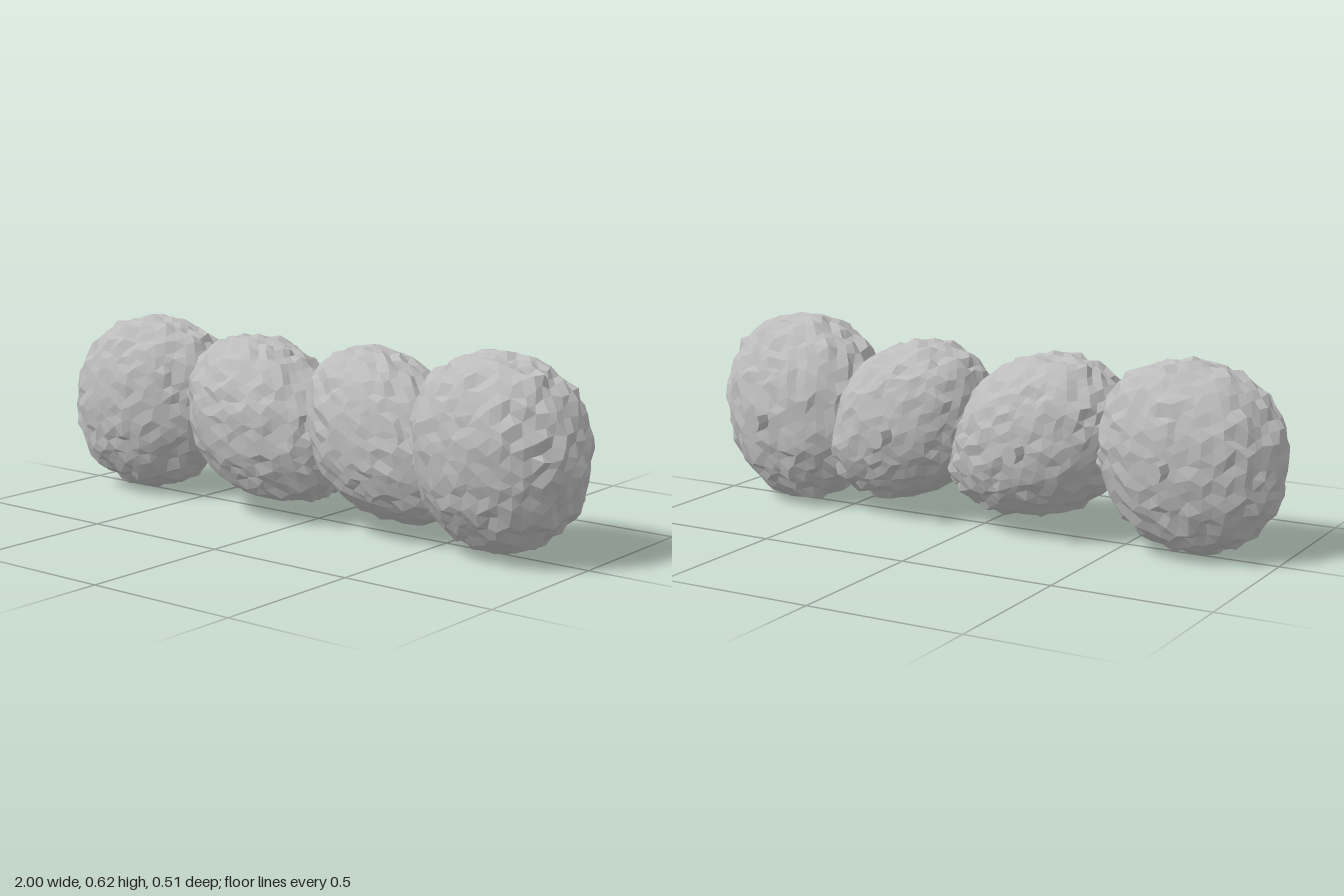
import * as THREE from 'three';
import { mergeVertices } from 'three/addons/utils/BufferGeometryUtils.js';

// Extents per lump. lean: x shift toward the bottom; tip: z shift toward the top;
// yaw: z shift toward +x; taper: extra width toward the top
const LUMPS = [
  { x: [-1.0, -0.42], y: [0.01, 0.6], z: [-0.19, 0.205], lean: -0.02, tip: 0.0, yaw: -0.025, taper: 0.06, peg: -0.70 },
  { x: [-0.485, 0.11], y: [0.05, 0.58], z: [-0.2, 0.24], lean: 0.065, tip: 0.0, yaw: 0.01, taper: -0.12, peg: -0.225 },
  { x: [0.0, 0.56], y: [0.05, 0.585], z: [-0.195, 0.205], lean: 0.08, tip: 0.0, yaw: 0.0, taper: -0.08, peg: 0.25 },
  { x: [0.415, 0.995], y: [0.01, 0.625], z: [-0.195, 0.25], lean: -0.01, tip: 0.025, yaw: 0.015, taper: 0.06, peg: 0.725 },
];

// Small seeded generator for the rough surface
function seeded(seed) {
  let s = seed;
  return () => {
    s = (s * 16807) % 2147483647;
    return s / 2147483647 - 0.5;
  };
}

// Slightly boxy ellipsoid with a chipped, faceted skin
function lumpGeometry(lump, seed) {
  const ico = new THREE.IcosahedronGeometry(1, 8);
  ico.deleteAttribute('normal');
  ico.deleteAttribute('uv');
  const geo = mergeVertices(ico, 1e-4);
  const pos = geo.attributes.position;
  const rand = seeded(seed);
  const mid = ([a, b]) => (a + b) / 2;
  const half = ([a, b]) => (b - a) / 2;
  const n = 2.15;
  const v = new THREE.Vector3();
  for (let i = 0; i < pos.count; i++) {
    v.fromBufferAttribute(pos, i);
    const sum = Math.abs(v.x) ** n + Math.abs(v.y) ** n + Math.abs(v.z) ** n;
    v.multiplyScalar(sum ** (-1 / n) * (0.985 + 0.05 * rand()));
    v.x += 0.06 * rand();
    v.y += 0.06 * rand();
    const w = v.x * (1 + lump.taper * v.y);
    pos.setXYZ(
      i,
      mid(lump.x) + half(lump.x) * w - lump.lean * v.y,
      mid(lump.y) + half(lump.y) * v.y,
      mid(lump.z) + half(lump.z) * v.z + lump.tip * v.y + lump.yaw * v.x
    );
  }
  const flat = geo.toNonIndexed();
  flat.computeVertexNormals();
  return flat;
}

export function createModel() {
  const model = new THREE.Group();
  model.name = 'lumpyRow';
  const stone = new THREE.MeshStandardMaterial({ color: 0xbcbcbc });
  stone.name = 'grey';

  // Peg pointing backwards, flared at its outer end, oval and faceted
  const pegGeo = new THREE.CylinderGeometry(0.027, 0.034, 0.13, 8).toNonIndexed();
  pegGeo.computeVertexNormals();
  pegGeo.rotateX(Math.PI / 2);
  pegGeo.scale(0.75, 1, 1);

  LUMPS.forEach((lump, i) => {
    const body = new THREE.Mesh(lumpGeometry(lump, 1234577 + i * 370261), stone);
    body.name = `lump${i + 1}`;
    const peg = new THREE.Mesh(pegGeo, stone);
    peg.name = `backPeg${i + 1}`;
    peg.position.set(lump.peg, 0.302, -0.187);
    model.add(body, peg);
  });
  return model;
}
